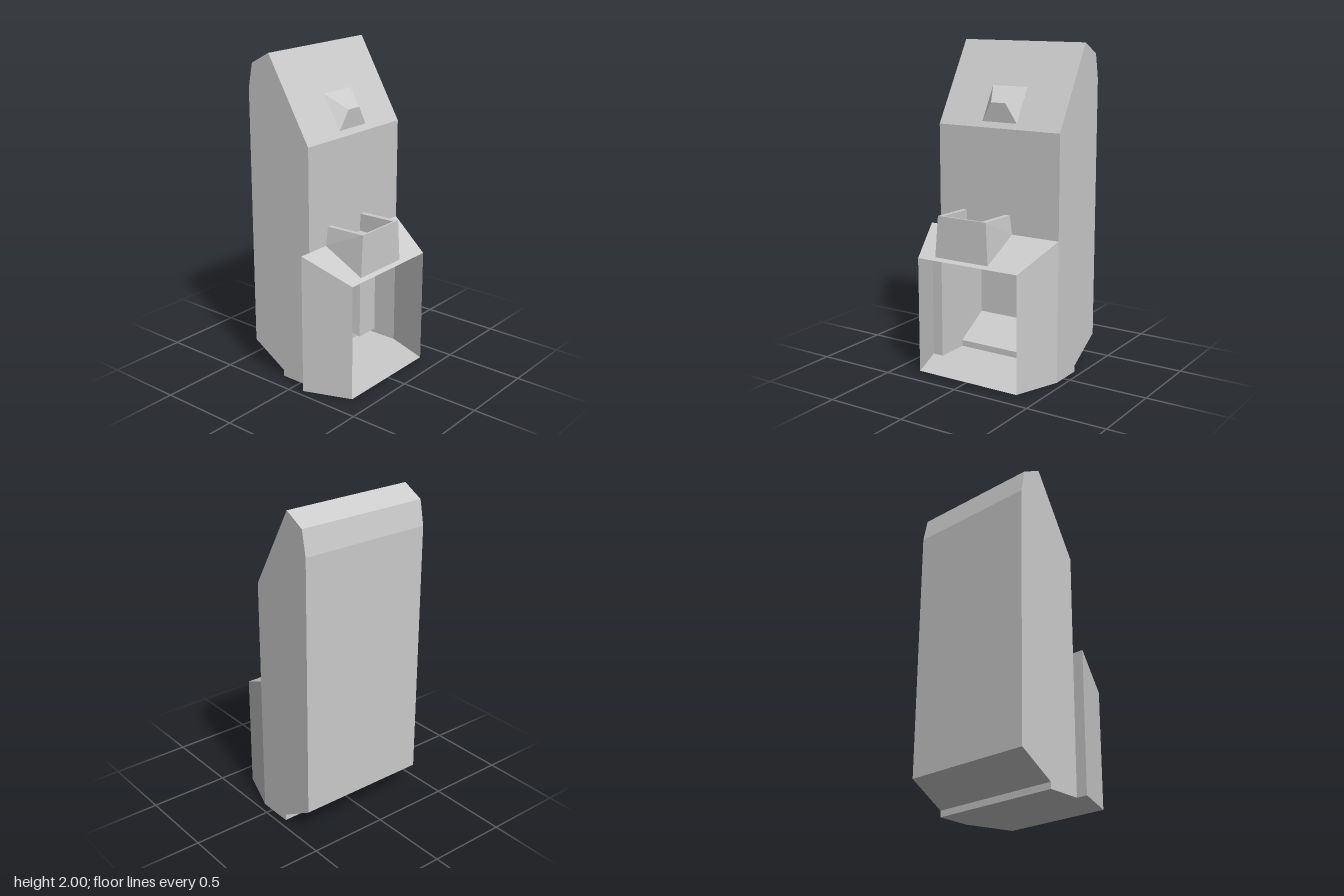
import * as THREE from 'three';
import { ConvexGeometry } from 'three/addons/geometries/ConvexGeometry.js';

const material = new THREE.MeshStandardMaterial({ color: 0xcccccc, flatShading: true, side: THREE.DoubleSide });
const XL = -0.39, XR = 0.455, ZF = 0.08;

// Flat convex panel from its corners
function panel(name, corners) {
  const pos = [];
  for (let i = 1; i < corners.length - 1; i++) pos.push(...corners[0], ...corners[i], ...corners[i + 1]);
  const g = new THREE.BufferGeometry();
  g.setAttribute('position', new THREE.Float32BufferAttribute(pos, 3));
  g.computeVertexNormals();
  const m = new THREE.Mesh(g, material);
  m.name = name;
  return m;
}

// Convex solid from its corner points
function solid(name, points) {
  const m = new THREE.Mesh(new ConvexGeometry(points.map(p => new THREE.Vector3(...p))), material);
  m.name = name;
  return m;
}

export function createModel() {
  const model = new THREE.Group();
  model.name = 'dispenserCabinet';

  // Hollow cabinet: (z, y) outline swept across the width, open at the lower front
  const outline = [[ZF, 0.87], [ZF, 1.5], [-0.21, 2], [-0.34, 1.93], [-0.37, 1.78],
    [-0.37, 0.18], [-0.14, 0.04], [-0.14, 0], [ZF, 0]];
  const cabinet = new THREE.Group();
  cabinet.name = 'cabinetShell';
  for (let i = 0; i < outline.length - 1; i++) {
    const [z0, y0] = outline[i], [z1, y1] = outline[i + 1];
    cabinet.add(panel('shellPanel' + i, [[XL, y0, z0], [XR, y0, z0], [XR, y1, z1], [XL, y1, z1]]));
  }
  const side = new THREE.ShapeGeometry(new THREE.Shape(outline.map(([z, y]) => new THREE.Vector2(-z, y))));
  for (const [x, name] of [[XL, 'rightSide'], [XR, 'leftSide']]) {
    const m = new THREE.Mesh(side, material);
    m.rotation.y = Math.PI / 2;
    m.position.x = x;
    m.name = name;
    cabinet.add(m);
  }
  model.add(cabinet);

  // Tapered bay around the opening
  const bay = new THREE.Group();
  bay.name = 'frontBay';
  const back = [-0.46, XR], front = [-0.35, 0.35], zB = 0.37;
  for (const i of [0, 1]) {
    bay.add(panel('baySide' + i, [[back[i], 0, ZF], [front[i], 0, zB], [front[i], 0.72, zB], [back[i], 0.87, ZF]]));
  }
  bay.add(panel('bayRoof', [[back[0], 0.87, ZF], [front[0], 0.72, zB], [front[1], 0.72, zB], [back[1], 0.87, ZF]]));
  bay.add(panel('bayFloor', [[back[0], 0, ZF], [front[0], 0, zB], [front[1], 0, zB], [back[1], 0, ZF]]));
  bay.add(panel('bayJamb', [[back[0], 0, ZF], [XL, 0, ZF], [XL, 0.87, ZF], [back[0], 0.87, ZF]]));
  model.add(bay);

  // Open hopper tray on the bay roof
  const hopper = new THREE.Group();
  hopper.name = 'hopper';
  const ends = [[-0.24, -0.22, -0.19], [0.135, 0.12, 0.085]];
  ends.forEach(([bottom, top, inner], i) => {
    hopper.add(solid('hopperSide' + i, [
      [bottom, 0.87, ZF], [bottom, 0.735, 0.345], [inner, 0.87, ZF], [inner, 0.735, 0.345],
      [top, 0.985, ZF], [top, 0.99, 0.335], [inner, 0.985, ZF], [inner, 0.99, 0.335]]));
  });
  hopper.add(solid('hopperFront', [
    [-0.24, 0.735, 0.345], [0.135, 0.735, 0.345], [-0.22, 0.99, 0.34], [0.12, 0.99, 0.34],
    [-0.23, 0.735, 0.328], [0.125, 0.735, 0.328], [-0.22, 0.99, 0.328], [0.12, 0.99, 0.328]]));
  hopper.add(panel('hopperFloor', [[-0.19, 0.875, ZF], [-0.19, 0.875, 0.33], [0.085, 0.875, 0.33], [0.085, 0.875, ZF]]));
  model.add(hopper);

  // Wedge-shaped knob on the sloping face
  model.add(solid('knob', [
    [-0.09, 1.74, -0.06], [0.155, 1.74, -0.06], [0.155, 1.53, 0.06], [-0.09, 1.53, 0.06],
    [-0.02, 1.65, 0.07], [0.08, 1.65, 0.07]]));

  // Inside the opening: hanging box with a corner column below it
  const hanging = new THREE.Mesh(new THREE.BoxGeometry(0.375, 0.35, 0.42), material);
  hanging.position.set(0.2625, 0.685, -0.145);
  hanging.name = 'innerBox';
  model.add(hanging);
  const column = [];
  for (const x of [0, 1]) {
    column.push([x ? 0.45 : 0.25, 0.51, -0.365], [x ? 0.45 : 0.25, 0.185, -0.365],
      [x ? 0.45 : 0.28, 0.045, -0.135], [x ? 0.45 : 0.29, 0.03, -0.08], [x ? 0.45 : 0.29, 0.51, -0.08]);
  }
  model.add(solid('innerColumn', column));

  return model;
}
